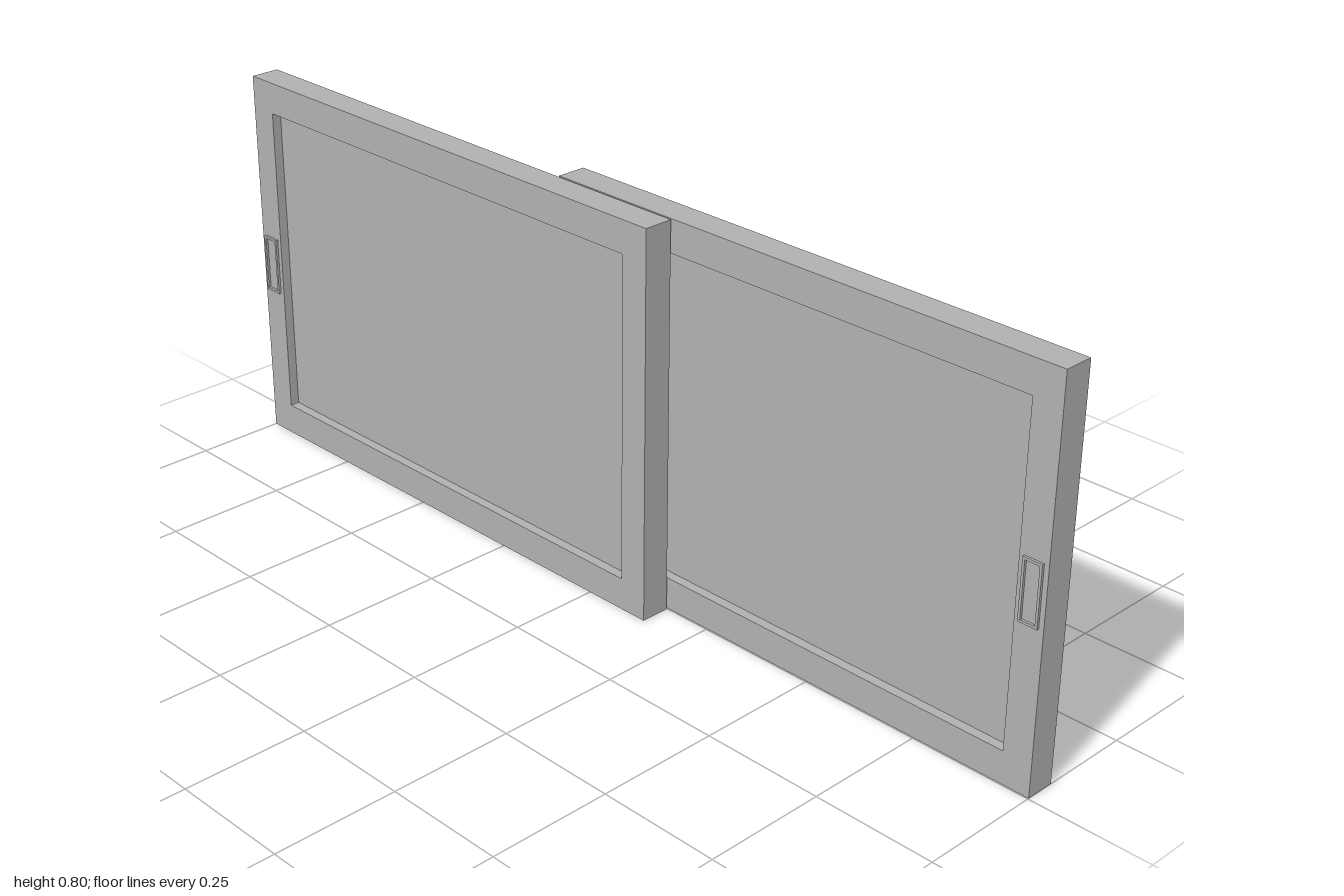
import * as THREE from 'three';

const HEIGHT = 0.795, LEFT = -1, RIGHT = 0.147;
const Z_BACK = 0.002, Z_FRONT = 0.063, Z_MID = (Z_BACK + Z_FRONT) / 2;

// Rectangular ring extruded from z0 to z1
function ring(x0, y0, x1, y1, bx, by, z0, z1) {
  const corners = (a, b, c, d) => [[a, b], [c, b], [c, d], [a, d]].map(p => new THREE.Vector2(...p));
  const shape = new THREE.Shape(corners(x0, y0, x1, y1));
  shape.holes.push(new THREE.Path(corners(x0 + bx, y0 + by, x1 - bx, y1 - by).reverse()));
  const geometry = new THREE.ExtrudeGeometry(shape, { depth: z1 - z0, bevelEnabled: false });
  return geometry.translate(0, 0, z0);
}

export function createModel() {
  const grey = new THREE.MeshStandardMaterial({ color: 0xb0b0b0 });
  grey.name = 'grey';

  function add(group, name, geometry) {
    const mesh = new THREE.Mesh(geometry, grey);
    mesh.name = name;
    group.add(mesh);
    return mesh;
  }

  // One sliding panel: frame, recessed pane and a pull rim on each face
  function createSash(name) {
    const sash = new THREE.Group();
    sash.name = name;
    add(sash, 'frame', ring(LEFT, 0, RIGHT, HEIGHT, 0.06, 0.066, Z_BACK, Z_FRONT));

    const pane = add(sash, 'pane', new THREE.BoxGeometry(RIGHT - LEFT - 0.12, HEIGHT - 0.132, 0.021));
    pane.position.set((LEFT + RIGHT) / 2, HEIGHT / 2, Z_MID);

    const pull = (z0, z1) => ring(-0.99, 0.326, -0.95, 0.448, 0.005, 0.005, z0, z1);
    add(sash, 'frontPullRim', pull(Z_FRONT, Z_FRONT + 0.005));
    add(sash, 'backPullRim', pull(Z_BACK - 0.005, Z_BACK));
    return sash;
  }

  // Two identical sashes, the rear one turned half a circle
  const model = new THREE.Group();
  model.name = 'slidingWindow';
  const rear = createSash('rearSash');
  rear.rotation.y = Math.PI;
  model.add(createSash('frontSash'), rear);
  return model;
}
